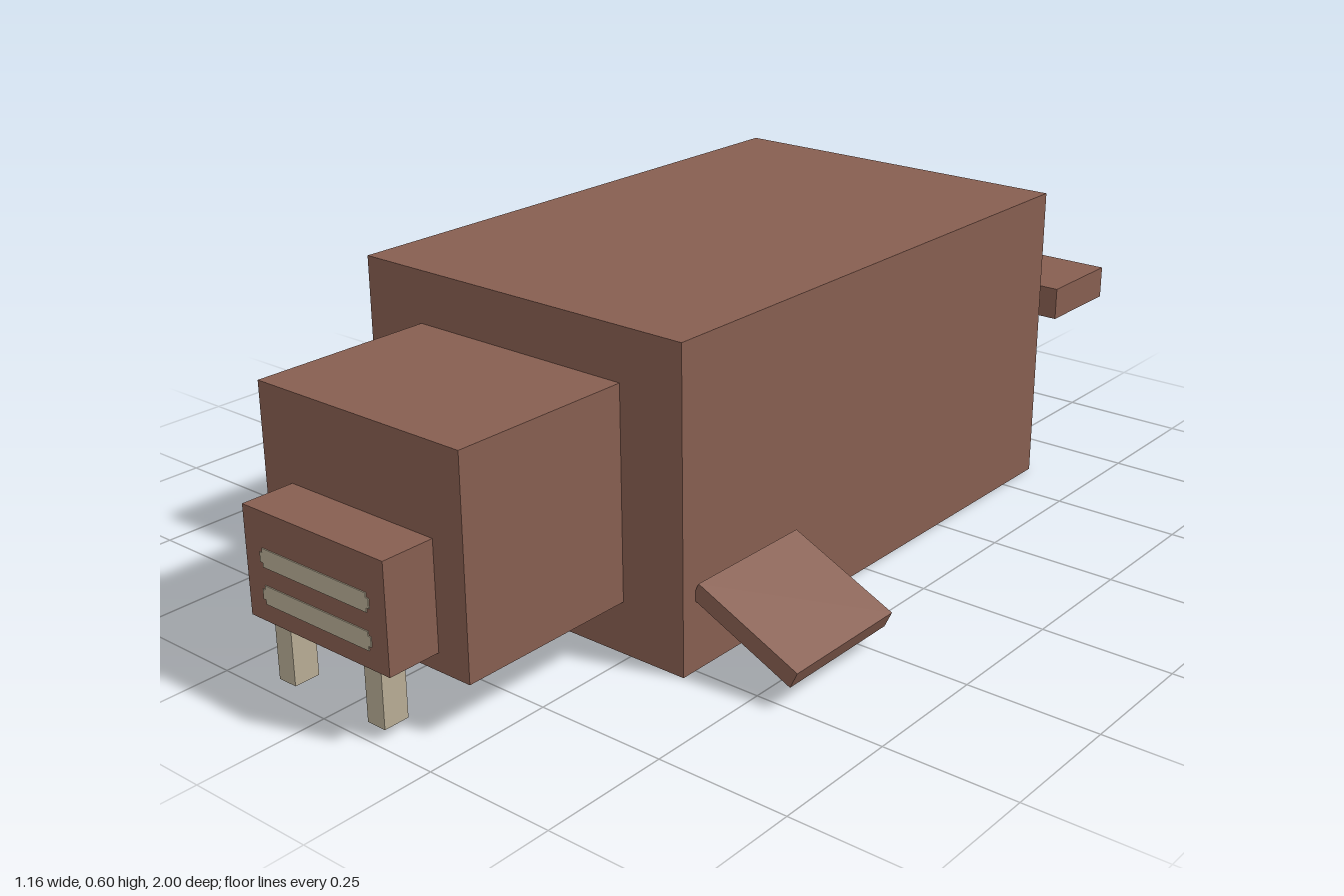
import * as THREE from 'three';

const hide = new THREE.MeshStandardMaterial({ color: 0x875e50 });
hide.name = 'brown hide';
const ivory = new THREE.MeshStandardMaterial({ color: 0xb8ad95 });
ivory.name = 'ivory';

export function createModel() {
  const model = new THREE.Group();
  model.name = 'blockySeaMammal';

  // Box given by its lower and upper limits on each axis
  function block(name, material, [x0, x1], [y0, y1], [z0, z1]) {
    const mesh = new THREE.Mesh(new THREE.BoxGeometry(x1 - x0, y1 - y0, z1 - z0), material);
    mesh.position.set((x0 + x1) / 2, (y0 + y1) / 2, (z0 + z1) / 2);
    mesh.name = name;
    model.add(mesh);
    return mesh;
  }

  // Body, head and snout
  block('body', hide, [-0.368, 0.368], [0, 0.6], [-0.605, 0.532]);
  block('head', hide, [-0.235, 0.235], [0.1, 0.5], [0.532, 0.895]);
  block('snout', hide, [-0.167, 0.167], [0.134, 0.334], [0.895, 0.998]);

  // Tail stem and flat tail fin
  block('tailStem', hide, [-0.167, 0.167], [0.204, 0.404], [-0.8, -0.605]);
  block('tailFin', hide, [-0.3, 0.3], [0.267, 0.334], [-1, -0.8]);

  // Whisker stripes: a long bar with a small stepped tip at each end
  for (const y of [0.184, 0.251]) {
    block('whiskerStripe', ivory, [-0.124, 0.124], [y - 0.017, y + 0.017], [0.998, 1]);
    for (const s of [-1, 1]) {
      const tip = block('whiskerTip', ivory, [0.124, 0.13], [y - 0.009, y + 0.009], [0.998, 1]);
      tip.position.x *= s;
    }
  }

  // Tusks and sloping flippers, one per side
  for (const s of [1, -1]) {
    const side = s > 0 ? 'left' : 'right';
    const tusk = block(side + 'Tusk', ivory, [0.089, 0.129], [0.02, 0.134], [0.933, 0.983]);
    tusk.position.x *= s;

    const flipper = block(side + 'Flipper', hide, [0.357, 0.585], [0.086, 0.12], [0.228, 0.5]);
    flipper.position.x *= s;
    flipper.rotation.z = -s * THREE.MathUtils.degToRad(25);
  }

  return model;
}
